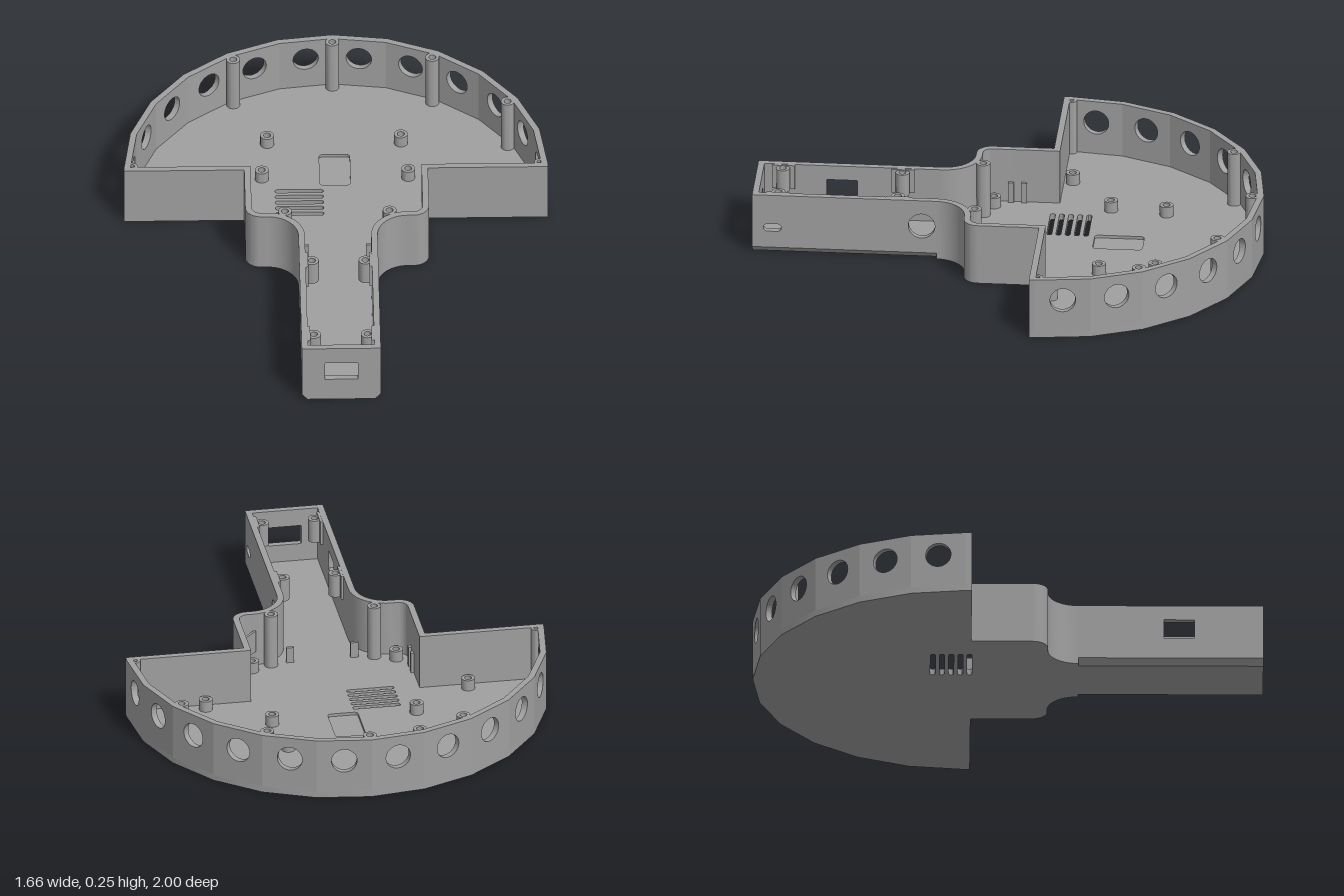
import * as THREE from 'three';
import { toCreasedNormals } from 'three/addons/utils/BufferGeometryUtils.js';

const HEIGHT = 0.25, FLOOR = 0.025, WALL = 0.025;
const HEAD_R = 0.83, HEAD_Z = -0.17, STEP_Z = -0.145;
const NECK_Z = 0.275, HANDLE_X = 0.155;

export function createModel() {
  const model = new THREE.Group();
  model.name = 'enclosureShell';
  const grey = new THREE.MeshStandardMaterial({ color: 0xa0a0a0 });
  grey.name = 'plain grey';

  const add = (name, geometry, x = 0, y = 0, z = 0) => {
    const mesh = new THREE.Mesh(geometry, grey);
    mesh.name = name;
    mesh.position.set(x, y, z);
    model.add(mesh);
    return mesh;
  };
  const box = (name, w, h, d, x, y, z) => add(name, new THREE.BoxGeometry(w, h, d), x, y, z);

  // plan coordinates (x, z) become shape coordinates (x, -z)
  const plan = (points) => new THREE.Shape(points.map(([x, z]) => new THREE.Vector2(x, -z)));
  const slab = (name, shape, y, h) => {
    const g = new THREE.ExtrudeGeometry(shape, { depth: h, bevelEnabled: false, curveSegments: 10 });
    g.rotateX(-Math.PI / 2);
    return add(name, toCreasedNormals(g, 0.5), 0, y, 0);
  };
  // rounded opening; r = half the smaller side gives a circle or a slot
  const opening = (cx, cy, w, h, r) => {
    const p = new THREE.Path(), x = w / 2 - r, y = h / 2 - r;
    p.absarc(cx + x, cy + y, r, 0, Math.PI / 2);
    p.absarc(cx - x, cy + y, r, Math.PI / 2, Math.PI);
    p.absarc(cx - x, cy - y, r, Math.PI, Math.PI * 1.5);
    p.absarc(cx + x, cy - y, r, Math.PI * 1.5, Math.PI * 2);
    p.closePath();
    return p;
  };
  // upright wall from a to b (left to right seen from outside), thickened inwards
  const panel = (name, a, b, holes = []) => {
    const dx = b[0] - a[0], dz = b[1] - a[1], len = Math.hypot(dx, dz);
    const s = new THREE.Shape([[0, FLOOR], [len, FLOOR], [len, HEIGHT], [0, HEIGHT]]
      .map(([x, y]) => new THREE.Vector2(x, y)));
    s.holes.push(...holes.map((h) => opening(...h)));
    const g = new THREE.ExtrudeGeometry(s, { depth: WALL, bevelEnabled: false, curveSegments: 8 });
    g.translate(0, 0, -WALL);
    const mesh = add(name, toCreasedNormals(g, 0.5), a[0], 0, a[1]);
    mesh.rotation.y = Math.atan2(-dz, dx);
  };
  // neck outline on the +x side, inset by d
  const neck = (d) => {
    const pts = [[0.36 - d, STEP_Z - d]], n = 12;
    for (let i = 0; i <= n; i++) {
      const t = (i / n) * Math.PI / 2, r = 0.06 - d;
      pts.push([0.30 + r * Math.cos(t), 0.095 + r * Math.sin(t)]);
    }
    for (let i = 0; i <= n; i++) {
      const t = -Math.PI / 2 - (i / n) * Math.PI / 2, r = 0.12 + d;
      pts.push([0.275 + r * Math.cos(t), NECK_Z + r * Math.sin(t)]);
    }
    return pts;
  };
  const flip = (pts) => pts.map(([x, z]) => [-x, z]);

  // faceted rear arc
  const arc = [];
  for (let k = 0; k <= 12; k++) {
    const t = (k / 12) * Math.PI;
    arc.push([HEAD_R * Math.cos(t), HEAD_Z - HEAD_R * Math.sin(t)]);
  }

  // head floor in two layers: vents pass through both, the recess only through the upper
  const rightEdge = [[HEAD_R, STEP_Z], [0.36, STEP_Z], ...neck(0).slice(1)];
  const outline = [...arc, ...flip(rightEdge), ...rightEdge.slice().reverse()];
  for (const [name, y, h, recessed] of [['headFloorBase', 0, 0.013, false], ['headFloorTop', 0.013, FLOOR - 0.013, true]]) {
    const s = plan(outline);
    for (let i = 0; i < 5; i++) s.holes.push(opening(-0.142, 0.295 - i * 0.036, 0.19, 0.02, 0.0099));
    if (recessed) s.holes.push(opening(0, 0.428, 0.12, 0.195, 0.015));
    slab(name, s, y, h);
  }

  // handle floor with chamfered lower edges
  const trough = new THREE.Shape([[-0.133, 0], [0.133, 0], [HANDLE_X, FLOOR], [-HANDLE_X, FLOOR]]
    .map(([x, y]) => new THREE.Vector2(x, y)));
  add('handleFloor', new THREE.ExtrudeGeometry(trough, { depth: 1 - NECK_Z, bevelEnabled: false }), 0, 0, NECK_Z);

  // rear wall, one round port in each facet
  const facet = 2 * HEAD_R * Math.sin(Math.PI / 24);
  for (let k = 0; k < 12; k++) panel('rearWall', arc[k], arc[k + 1], [[facet / 2, 0.16, 0.1, 0.1, 0.05]]);

  // shoulder and neck walls
  panel('leftShoulder', [0.36, STEP_Z], [HEAD_R, STEP_Z]);
  panel('rightShoulder', [-HEAD_R, STEP_Z], [-0.36, STEP_Z]);
  const neckWall = [[0.36, STEP_Z - WALL], ...neck(0).slice(1), ...neck(WALL).reverse()];
  slab('leftNeckWall', plan(neckWall), FLOOR, HEIGHT - FLOOR);
  slab('rightNeckWall', plan(flip(neckWall)), FLOOR, HEIGHT - FLOOR);

  // handle walls with a round port, a slot and two windows
  panel('handleLeftWall', [HANDLE_X, 1], [HANDLE_X, NECK_Z],
    [[0.667, 0.14, 0.104, 0.104, 0.052], [0.08, 0.11, 0.07, 0.032, 0.0159]]);
  panel('handleRightWall', [-HANDLE_X, NECK_Z], [-HANDLE_X, 1], [[0.395, 0.15, 0.12, 0.08, 0.002]]);
  panel('handleEndWall', [-HANDLE_X, 1], [HANDLE_X, 1], [[HANDLE_X, 0.138, 0.13, 0.08, 0.002]]);

  // hollow screw posts
  const post = (name, x, z, y0, y1, r = 0.027) => {
    const h = y1 - y0, bore = r * 0.52, deep = h * 0.7;
    const profile = [[0, 0], [r, 0], [r, h], [bore, h], [bore, h - deep], [0, h - deep]]
      .map(([a, b]) => new THREE.Vector2(a, b));
    add(name, toCreasedNormals(new THREE.LatheGeometry(profile, 20), 0.6), x, y0, z);
  };
  post('rearPost', 0, -0.955, 0.02, HEIGHT);
  post('sidePost', 0.68, -0.565, 0.02, HEIGHT);
  for (const s of [-1, 1]) {
    post('rearPost', s * 0.39, -0.85, 0.02, HEIGHT);
    post('cornerPost', s * 0.80, -0.175, 0.02, HEIGHT, 0.023);
    post('neckPost', s * 0.205, 0.12, 0.02, HEIGHT);
    // short board standoffs
    for (const [x, z] of [[0.262, -0.595], [0.287, -0.375], [0.522, -0.205], [0.287, 0.085]])
      post('standoff', s * x, z, 0.02, 0.07);
    // bosses hung from the handle walls
    for (const z of [0.43, 0.9]) {
      post('handleBoss', s * 0.105, z, 0.15, 0.245);
      box('bossWeb', 0.02, 0.1, 0.09, s * 0.13, 0.199, z);
    }
    // throat tabs and wall clips
    box('throatTab', 0.03, 0.07, 0.012, s * 0.128, 0.055, 0.132);
    for (const z of [-0.03, 0.022]) box('wallClip', 0.014, 0.09, 0.022, s * 0.33, 0.065, z);
  }
  // angled plate across the left neck corner
  const plate = box('cornerPlate', 0.1, 0.09, 0.01, 0.303, 0.135, 0.088);
  plate.rotation.y = Math.PI / 4;

  return model;
}
